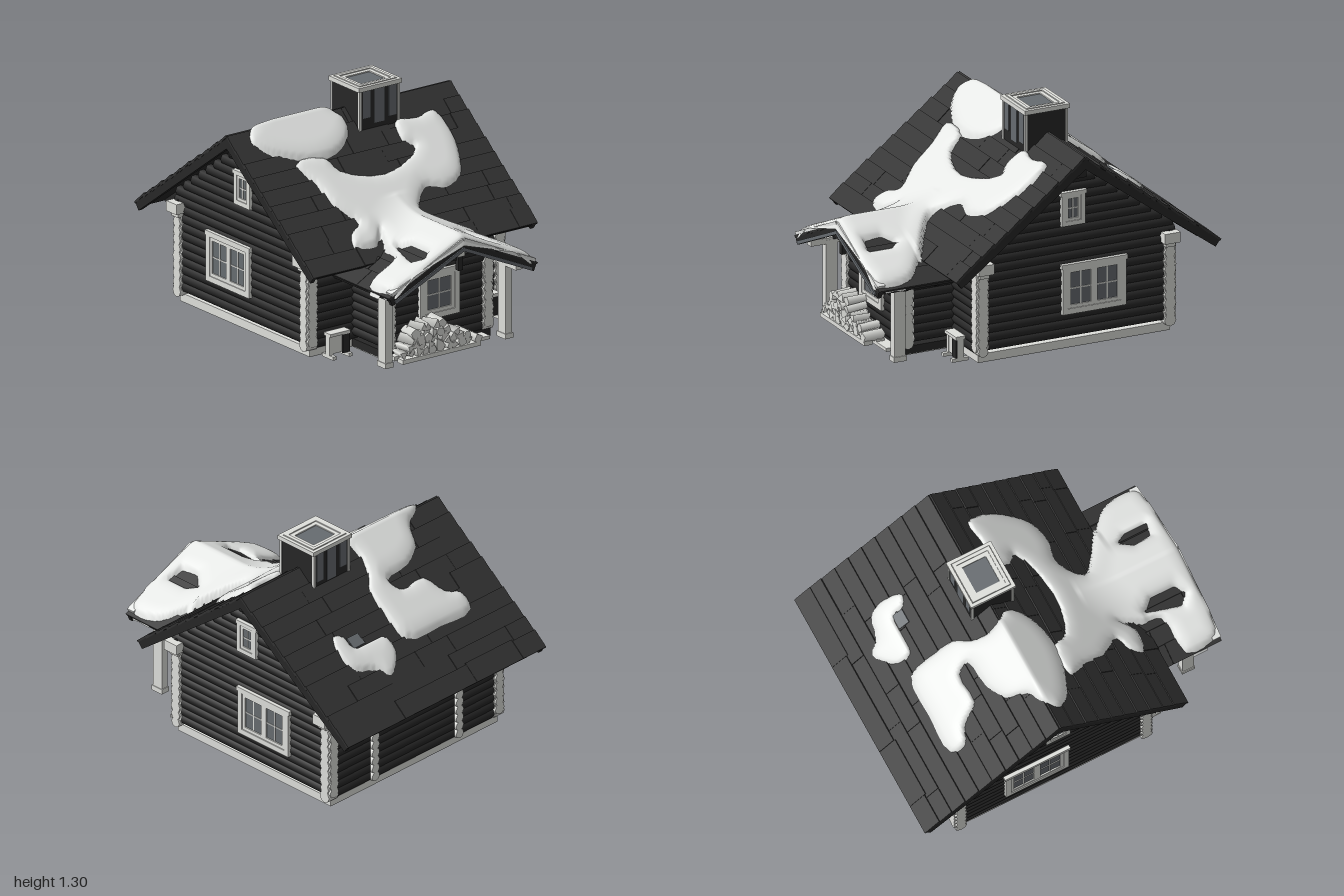
import * as THREE from 'three';
import { mergeGeometries } from 'three/addons/utils/BufferGeometryUtils.js';

const mat = (name, color) => Object.assign(new THREE.MeshStandardMaterial({ color }), { name });

// Seeded random numbers
let seed = 7;
const rand = (a = 0, b = 1) => {
  seed = (seed * 16807) % 2147483647;
  return a + (b - a) * (seed / 2147483647);
};

const box = (w, h, d, x = 0, y = 0, z = 0, rx = 0, ry = 0, rz = 0) =>
  new THREE.BoxGeometry(w, h, d).rotateX(rx).rotateY(ry).rotateZ(rz).translate(x, y, z);

function part(parent, name, material, geos) {
  const mesh = new THREE.Mesh(mergeGeometries(geos), material);
  mesh.name = name;
  parent.add(mesh);
}

function subgroup(parent, name) {
  const g = new THREE.Group();
  g.name = name;
  parent.add(g);
  return g;
}

// Roof heights, shared by the walls and the snow
const RIDGE_Z = -0.16, RIDGE_Y = 1.145;
const FRONT = 0.6 / 0.8, BACK = 0.61 / 0.84, PORCH = 0.45;
const mainRoof = z => RIDGE_Y - (z > RIDGE_Z ? (z - RIDGE_Z) * FRONT : (RIDGE_Z - z) * BACK);
const porchRoof = x => 0.695 - PORCH * Math.abs(x);

function snowBase(x, z) {
  const p = z > 0.36 ? porchRoof(x) : -1, m = z < 0.65 ? mainRoof(z) : -1;
  const k = 0.12, h = Math.max(k - Math.abs(p - m), 0) / k; // soft valley
  return Math.max(p, m) + h * h * k * 0.25;
}

// Signed distance to an outline, positive inside
function inside(pts, x, z) {
  let d = 1e9, s = -1;
  pts.forEach(([ax, az], i) => {
    const [bx, bz] = pts[(i + 1) % pts.length];
    const ex = bx - ax, ez = bz - az;
    const t = THREE.MathUtils.clamp(((x - ax) * ex + (z - az) * ez) / (ex * ex + ez * ez), 0, 1);
    d = Math.min(d, Math.hypot(x - ax - t * ex, z - az - t * ez));
    if ((az > z) !== (bz > z) && x < ax + ((z - az) / ez) * ex) s = -s;
  });
  return s * d;
}

// Snow is a height field that dips into the roof outside its outline
function snowPatch(parent, name, material, raw, holes, thick) {
  const flat = new THREE.CatmullRomCurve3(raw.map(([x, z]) => new THREE.Vector3(x, 0, z)), true, 'centripetal')
    .getPoints(raw.length * 3).slice(0, -1);
  const pts = flat.map(p => [p.x, p.z]);
  const xs = pts.map(p => p[0]), zs = pts.map(p => p[1]);
  const x0 = Math.min(...xs) - 0.015, x1 = Math.max(...xs) + 0.015;
  const z0 = Math.min(...zs) - 0.015, z1 = Math.min(Math.max(...zs) + 0.015, 0.998);
  const geo = new THREE.PlaneGeometry(x1 - x0, z1 - z0, Math.ceil((x1 - x0) / 0.014), Math.ceil((z1 - z0) / 0.014));
  geo.rotateX(-Math.PI / 2).translate((x0 + x1) / 2, 0, (z0 + z1) / 2);
  const pos = geo.attributes.position, dist = [];
  for (let i = 0; i < pos.count; i++) {
    const x = pos.getX(i), z = pos.getZ(i);
    const d = Math.min(inside(pts, x, z), ...holes.map(h => -inside(h, x, z)));
    const t = Math.min(Math.max(d, 0) / 0.08, 1);
    dist.push(d);
    pos.setY(i, snowBase(x, z) + (d > 0 ? 0.012 + thick * Math.sqrt(1 - (1 - t) ** 2) : Math.max(-0.025, 0.012 + d * 3)));
  }
  const idx = geo.index.array, keep = [];
  for (let i = 0; i < idx.length; i += 3) {
    const tri = [idx[i], idx[i + 1], idx[i + 2]];
    if (tri.some(v => dist[v] > -0.005)) keep.push(...tri);
  }
  geo.setIndex(keep);
  geo.computeVertexNormals();
  part(parent, name, material, [geo]);
}

export function createModel() {
  seed = 7;
  const M = {
    roof: mat('roof boards', 0x333333), log: mat('dark logs', 0x272727),
    light: mat('pale wood', 0xdfe0dc), snow: mat('snow', 0xeff1ef),
    glass: mat('slate glass', 0x676c70), floor: mat('floor grey', 0xcbcdca),
  };
  M.snow.side = THREE.DoubleSide;
  const model = new THREE.Group();
  model.name = 'logCabin';

  // Stacked logs with pale ends on the chosen sides; range(y) gives start and end of each course
  function logWall(name, alongX, fixed, y0, y1, range, endsTop, bothEnds = true) {
    const dark = [], pale = [];
    const log = (r, a, b, y) => {
      const g = new THREE.CylinderGeometry(r, r, b - a, 8).rotateX(Math.PI / 2).translate(0, 0, (a + b) / 2);
      if (alongX) g.rotateY(Math.PI / 2);
      return g.translate(alongX ? 0 : fixed, y, alongX ? fixed : 0);
    };
    for (let y = y0; y < y1; y += 0.05) {
      const [a, b] = range(y);
      if (b - a < 0.03) continue;
      dark.push(log(0.031, a, b, y));
      if (y > endsTop) continue;
      pale.push(log(rand(0.031, 0.037), b - 0.07, b + 0.004, y));
      if (bothEnds) pale.push(log(rand(0.031, 0.037), a - 0.004, a + 0.07, y));
    }
    part(model, name, M.log, dark);
    part(model, name + 'Ends', M.light, pale);
  }

  // Foundation and floor
  part(model, 'foundation', M.light, [box(1.31, 0.046, 1.19, 0, 0.027, -0.15)]);
  part(model, 'vestibuleSill', M.log, [box(0.72, 0.046, 0.32, 0, 0.027, 0.6)]);
  part(model, 'floor', M.floor, [box(1.31, 0.005, 1.19, 0, 0.0025, -0.15), box(0.72, 0.005, 0.32, 0, 0.0025, 0.6)]);

  // House walls
  logWall('frontWall', true, 0.43, 0.07, 0.6, () => [-0.686, 0.686], 0.54);
  logWall('backWall', true, -0.73, 0.07, 0.6, () => [-0.686, 0.686], 0.54);
  const gable = y => [Math.max(-0.765, RIDGE_Z - (1.075 - y) / BACK), Math.min(0.465, RIDGE_Z + (1.075 - y) / FRONT)];
  for (const s of [-1, 1]) logWall(s > 0 ? 'leftGable' : 'rightGable', false, s * 0.65, 0.095, 1.07, gable, 0.54);
  // Inner wall ends showing on the back
  const stubs = [];
  for (const x of [-0.33, 0.33]) for (let y = 0.07; y < 0.6; y += 0.05)
    stubs.push(new THREE.CylinderGeometry(0.03, 0.03, 0.06, 8).rotateX(Math.PI / 2).translate(x, y, -0.745));
  part(model, 'innerWallEnds', M.light, stubs);
  // Vestibule walls
  logWall('vestibuleFront', true, 0.735, 0.07, 0.63, y => {
    const h = Math.min(0.372, (0.65 - y) / PORCH);
    return [-h, h];
  }, 0.45);
  for (const s of [-1, 1]) logWall('vestibuleSide', false, s * 0.34, 0.095, 0.5, () => [0.44, 0.768], 0.45, false);
  // Purlins carrying the eaves
  const purlins = [];
  for (const s of [-1, 1]) for (const z of [0.43, -0.725])
    purlins.push(box(0.13, 0.06, 0.095, s * 0.665, 0.565, z), box(0.1, 0.035, 0.06, s * 0.655, 0.525, z));
  part(model, 'purlinEnds', M.light, purlins);
  part(model, 'ridgeBeam', M.log, [box(1.46, 0.06, 0.06, 0, 1.045, RIDGE_Z)]);

  // One roof slope: local +z runs down from the ridge
  function slope(name, x, y, z, yaw, run, drop, width, courses) {
    const g = subgroup(model, name), len = Math.hypot(run, drop), step = len / courses;
    g.position.set(x, y, z);
    g.rotation.set(Math.atan2(drop, run), yaw, 0, 'YXZ');
    const boards = [], under = [box(width - 0.02, 0.028, len - 0.01, 0, -0.022, len / 2)];
    for (let i = 0; i < courses; i++) {
      for (let a = -width / 2; a < width / 2 - 0.001;) {
        let b = a + rand(0.2, 0.6);
        if (b > width / 2 - 0.08) b = width / 2;
        const l = step + rand(0.012, 0.025);
        boards.push(box(b - a - 0.002, 0.012, l, (a + b) / 2, rand(-0.003, 0.001), Math.min(i * step + l / 2, len - l / 2 + 0.004), 0.08));
        a = b;
      }
    }
    for (const s of [-1, 1]) under.push(box(0.025, 0.05, len, s * (width / 2 - 0.016), -0.03, len / 2));
    const n = Math.round(width / 0.2);
    for (let i = 1; i < n; i++) under.push(box(0.03, 0.035, len - 0.05, -width / 2 + (i * width) / n, -0.045, len / 2));
    part(g, 'boards', M.roof, boards);
    part(g, 'raftersAndDeck', M.log, under);
    return g;
  }
  slope('frontRoof', 0, RIDGE_Y, RIDGE_Z, 0, 0.8, 0.8 * FRONT, 1.555, 10);
  const back = slope('backRoof', 0, RIDGE_Y, RIDGE_Z, Math.PI, 0.84, 0.84 * BACK, 1.555, 10);
  part(back, 'roofPatch', M.glass, [box(0.085, 0.008, 0.07, -0.3, 0.01, 0.52)]);
  for (const s of [-1, 1]) {
    const g = slope('porchRoof', 0, 0.695, 0.7, s * Math.PI / 2, 0.512, 0.512 * PORCH, 0.58, 5);
    part(g, 'vergeTrim', M.glass, [box(0.008, 0.02, 0.53, -s * 0.292, -0.045, 0.275)]);
    part(g, 'vergeSnow', M.snow, [box(0.05, 0.018, 0.54, -s * 0.268, 0.008, 0.272)]);
  }

  // Porch frame
  const frame = [box(0.045, 0.025, 0.035, 0, 0.61, 0.955)];
  for (const s of [-1, 1]) frame.push(
    box(0.046, 0.45, 0.07, s * 0.415, 0.225, 0.82), box(0.055, 0.03, 0.08, s * 0.415, 0.015, 0.82),
    box(0.045, 0.035, 0.5, s * 0.415, 0.445, 0.7));
  part(model, 'porchPosts', M.light, frame);
  part(model, 'porchTie', M.log, [box(0.26, 0.025, 0.03, 0, 0.585, 0.93), box(0.03, 0.09, 0.03, 0, 0.56, 0.95)]);

  // Windows: frame, sash, panes and glazing bars, facing local +z
  function windowUnit(name, x, y, z, yaw, w, h, sashes, t) {
    const g = subgroup(model, name), bars = [];
    g.position.set(x, y, z);
    g.rotation.y = yaw;
    const ring = (cx, rw, rh, b, d) => {
      for (const s of [-1, 1]) bars.push(
        box(b, rh, d, cx + s * (rw - b) / 2, 0, d / 2), box(rw, b, d, cx, s * (rh - b) / 2, d / 2));
    };
    ring(0, w, h, t, 0.022);
    bars.push(box(w + 0.015, t * 0.8, 0.025, 0, h / 2 - t * 0.4, 0.0125));
    const sw = (w - 2 * t) / sashes, sh = h - 2 * t;
    for (let i = 0; i < sashes; i++) {
      const cx = (i - (sashes - 1) / 2) * sw;
      ring(cx, sw, sh, t * 0.6, 0.017);
      bars.push(box(0.007, sh, 0.013, cx, 0, 0.007), box(sw, 0.007, 0.013, cx, 0, 0.007));
    }
    part(g, 'frame', M.light, bars);
    part(g, 'glass', M.glass, [box(w - t, h - t, 0.008, 0, 0, 0.006)]);
  }
  windowUnit('vestibuleWindow', -0.005, 0.332, 0.76, 0, 0.272, 0.282, 1, 0.034);
  for (const s of [-1, 1]) {
    windowUnit('gableWindow', s * 0.674, 0.357, -0.257, s * Math.PI / 2, 0.395, 0.295, 2, 0.033);
    windowUnit('atticWindow', s * 0.674, 0.83, -0.127, s * Math.PI / 2, 0.148, 0.2, 1, 0.027);
  }

  // Chimney with pale corners and a stepped cap
  const ch = subgroup(model, 'chimney');
  ch.position.set(0.18, 0, -0.15);
  part(ch, 'stack', M.log, [box(0.275, 0.38, 0.258, 0, 1.09, 0)]);
  const trims = [], panels = [];
  for (const s of [-1, 1]) {
    for (const t of [-1, 1]) trims.push(box(0.014, 0.38, 0.014, s * 0.134, 1.09, t * 0.126));
    for (const [x, w, h] of [[-0.09, 0.05, 0.16], [0, 0.07, 0.2], [0.09, 0.05, 0.18]])
      panels.push(box(w, h, 0.006, x, 1.275 - h / 2, s * 0.129));
  }
  [[0.3, 0.28, 1.288, 0.02], [0.255, 0.235, 1.292, 0.02], [0.215, 0.195, 1.286, 0.024]].forEach(([w, d, y, b]) => {
    for (const s of [-1, 1]) trims.push(box(b, 0.026, d, s * (w - b) / 2, y, 0), box(w, 0.026, b, 0, y, s * (d - b) / 2));
  });
  trims.push(box(0.29, 0.012, 0.27, 0, 1.282, 0));
  panels.push(box(0.18, 0.006, 0.16, 0, 1.289, 0));
  part(ch, 'trim', M.light, trims);
  part(ch, 'slatePanels', M.glass, panels);

  // Firewood stack on a low rack
  const wood = [];
  for (let j = 0; j < 5; j++) {
    for (let x = -0.335 + j * 0.03; x < 0.17 - j * 0.055; x += rand(0.042, 0.058)) {
      const r = rand(0.026, 0.035), l = rand(0.1, 0.13);
      wood.push(new THREE.CylinderGeometry(r, r, l, 3 + Math.floor(rand(0, 3))).toNonIndexed()
        .rotateY(rand(0, 6)).rotateX(Math.PI / 2 + rand(-0.1, 0.1)).rotateY(rand(-0.25, 0.25))
        .translate(x, 0.068 + j * 0.033, 0.845 + rand(-0.012, 0.012)));
    }
  }
  part(model, 'firewood', M.light, wood);
  part(model, 'woodRack', M.light, [box(0.54, 0.025, 0.05, -0.09, 0.035, 0.81), box(0.54, 0.025, 0.05, -0.09, 0.035, 0.885),
    box(0.6, 0.02, 0.09, 0, 0.025, 0.79)]);

  // Benches beside the porch
  for (const s of [-1, 1]) {
    const b = subgroup(model, 'bench');
    b.position.set(s * 0.52, 0, 0.52);
    const bits = [box(0.14, 0.018, 0.06, 0, 0.138, 0), box(0.13, 0.11, 0.03, 0, 0.08, 0)];
    for (const t of [-1, 1]) bits.push(box(0.025, 0.02, 0.1, t * 0.055, 0.01, 0), box(0.025, 0.12, 0.04, t * 0.055, 0.08, 0));
    part(b, 'seatAndLegs', M.light, bits);
    part(b, 'backPanel', M.log, [box(0.05, 0.11, 0.008, 0.042, 0.075, 0.024)]);
  }

  // Snow patches as outlines in x and z
  snowPatch(model, 'ridgeSnow', M.snow, [[-0.5, -0.69], [-0.25, -0.7], [0, -0.68], [0.02, -0.53], [0.01, -0.41],
    [-0.05, -0.34], [-0.08, -0.24], [-0.05, -0.15], [-0.01, -0.1], [-0.03, -0.03], [-0.13, 0.04], [-0.29, 0.07],
    [-0.45, 0.04], [-0.6, -0.03], [-0.65, -0.1], [-0.58, -0.18], [-0.5, -0.21], [-0.44, -0.32], [-0.31, -0.38],
    [-0.14, -0.4], [-0.17, -0.47], [-0.35, -0.47], [-0.42, -0.57], [-0.51, -0.61]], [], 0.03);
  snowPatch(model, 'backSnow', M.snow, [[0.1, -0.69], [0.16, -0.76], [0.24, -0.8], [0.3, -0.74], [0.43, -0.7],
    [0.45, -0.61], [0.41, -0.52], [0.35, -0.55], [0.34, -0.61], [0.22, -0.62], [0.11, -0.63]], [], 0.018);
  snowPatch(model, 'frontSnow', M.snow, [[-0.47, 0.07], [-0.27, 0.08], [-0.23, 0.16], [0.03, 0.23], [0.32, 0.13],
    [0.27, 0.08], [0.29, -0.02], [0.43, -0.01], [0.56, -0.03], [0.59, 0.08], [0.56, 0.2], [0.48, 0.32], [0.35, 0.36],
    [0.22, 0.34], [0.1, 0.46], [0.16, 0.53], [0.35, 0.66], [0.47, 0.77], [0.495, 0.93], [0.46, 0.985], [0, 0.985],
    [-0.46, 0.985], [-0.495, 0.93], [-0.49, 0.78], [-0.28, 0.74], [-0.26, 0.64], [-0.21, 0.5], [-0.29, 0.57],
    [-0.42, 0.55], [-0.39, 0.48], [-0.31, 0.44], [-0.39, 0.32], [-0.42, 0.19]],
  [[[-0.22, 0.66], [-0.16, 0.73], [-0.16, 0.88], [-0.22, 0.92], [-0.27, 0.87], [-0.25, 0.78]],
    [[0.21, 0.72], [0.25, 0.78], [0.25, 0.92], [0.16, 0.9], [0.15, 0.79]]], 0.03);

  return model;
}
